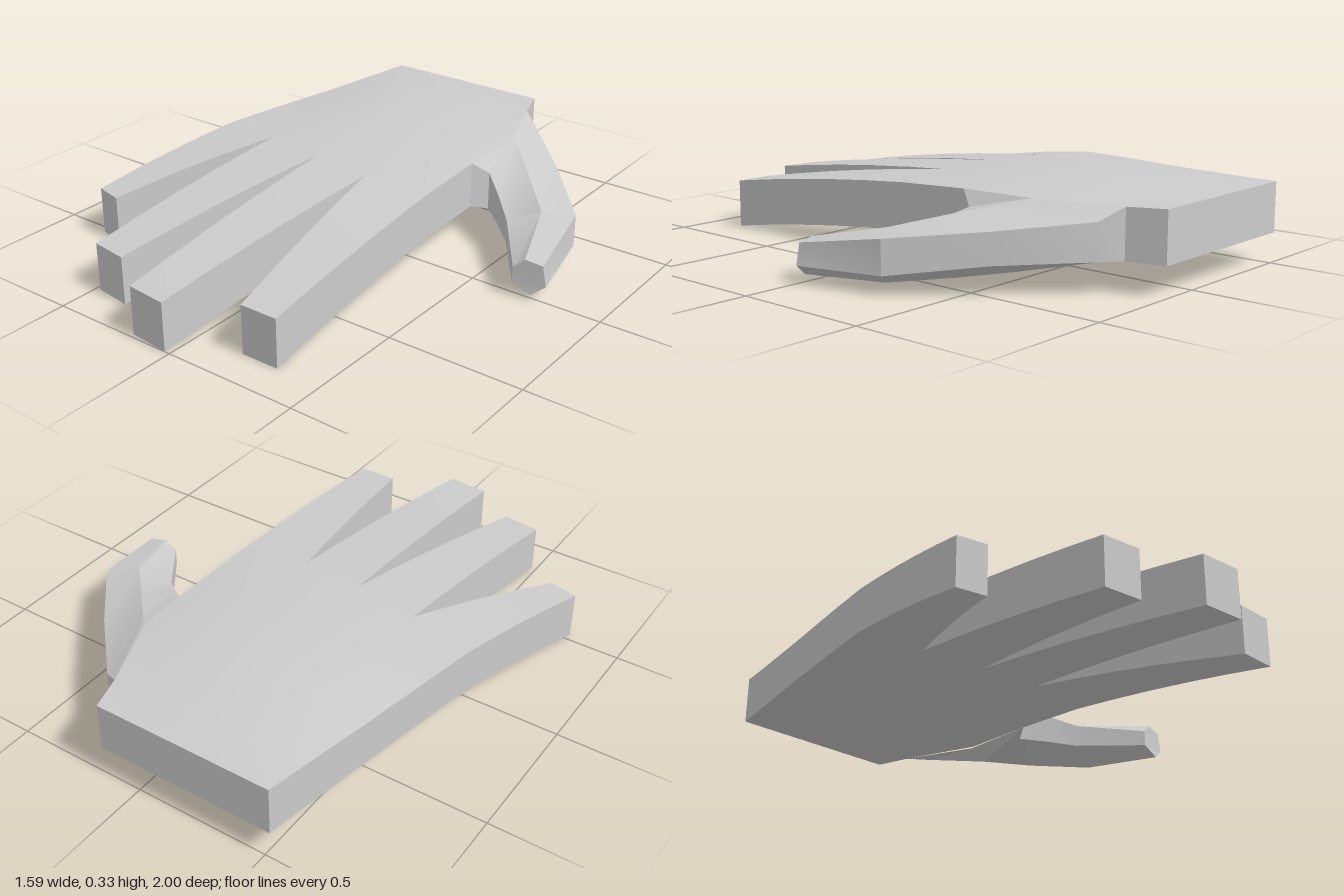
import * as THREE from 'three';
import { toCreasedNormals } from 'three/addons/utils/BufferGeometryUtils.js';

// Collects quads and turns them into a mesh with sharp corners and smooth faces
class Skin {
  constructor() { this.pos = []; }
  tri(a, b, c) { this.pos.push(...a, ...b, ...c); }
  quad(a, b, c, d) { this.tri(a, b, c); this.tri(a, c, d); }
  mesh(name) {
    const g = new THREE.BufferGeometry();
    g.setAttribute('position', new THREE.Float32BufferAttribute(this.pos, 3));
    const mat = new THREE.MeshStandardMaterial({ color: 0xcccccc });
    const m = new THREE.Mesh(toCreasedNormals(g, 0.5), mat);
    m.name = name;
    return m;
  }
}

// Edge points are [x, z, top, bottom]
const up = p => [p[0], p[2], p[1]];
const low = p => [p[0], p[3], p[1]];

// Slab segments between a -x edge and a +x edge, running from back to front
function strip(skin, L, R, wallL, wallR) {
  for (let k = 0; k < L.length - 1; k++) {
    const [a, b, c, d] = [L[k], L[k + 1], R[k + 1], R[k]];
    skin.quad(up(a), up(b), up(c), up(d));
    skin.quad(low(a), low(d), low(c), low(b));
    if (wallL(k)) skin.quad(low(a), low(b), up(b), up(a));
    if (wallR(k)) skin.quad(low(c), low(d), up(d), up(c));
  }
}

// Palm rows from wrist to finger roots, five points across each
const row = (z, xs, tops, bottom) => xs.map((x, i) => [x, z, tops[i], bottom]);
const ROWS = [
  row(-1, [-0.52, -0.35, -0.18, -0.02, 0.15], [0.285, 0.285, 0.285, 0.285, 0.285], 0.105),
  row(-0.87, [-0.543, -0.37, -0.18, 0.01, 0.19], [0.282, 0.294, 0.298, 0.296, 0.282], 0.107),
  row(-0.58, [-0.597, -0.41, -0.18, 0.06, 0.3], [0.277, 0.312, 0.326, 0.318, 0.288], 0.11),
  row(-0.29, [-0.65, -0.43, -0.19, 0.06, 0.3], [0.277, 0.304, 0.314, 0.307, 0.284], 0.11),
  [[-0.688, -0.08, 0.274, 0.105], [-0.44, -0.04, 0.287, 0.107], [-0.19, 0, 0.29, 0.107],
    [0.05, 0.03, 0.283, 0.105], [0.305, 0, 0.272, 0.102]],
];
const ROOTS = ROWS[4];

function palm() {
  const s = new Skin();
  for (let i = 0; i < 4; i++) {
    strip(s, ROWS.map(r => r[i]), ROWS.map(r => r[i + 1]),
      () => i === 0, k => i === 3 && (k === 0 || k === 3));
    const [a, b] = [ROWS[0][i], ROWS[0][i + 1]];
    s.quad(low(b), low(a), up(a), up(b)); // cut wrist
  }
  return s.mesh('palm');
}

// Fingers taper in plan and droop down to the ground at the tip
function finger(name, i, tipL, tipR) {
  const edge = (root, tip) => [0, 0.2, 0.4, 0.6, 0.8, 1].map(t => {
    const drop = 0.62 * t + 0.38 * t * t;
    return [
      root[0] + (tip[0] - root[0]) * t,
      root[1] + (tip[1] - root[1]) * t,
      root[2] + (0.18 - root[2]) * drop,
      root[3] * (1 - drop),
    ];
  });
  const L = edge(ROOTS[i], tipL), R = edge(ROOTS[i + 1], tipR);
  const s = new Skin();
  strip(s, L, R, () => true, () => true);
  const [a, b] = [L.at(-1), R.at(-1)];
  s.quad(low(a), low(b), up(b), up(a)); // blunt tip
  return s.mesh(name);
}

// Thumb: six-sided sections of outer low, outer top, ridge, inner top, inner low, bottom
function thumb() {
  const sections = [
    [[0.19, 0.107, -0.87], [0.19, 0.282, -0.87], [0.3, 0.288, -0.58],
      [0.3, 0.284, -0.29], [0.3, 0.11, -0.29], [0.29, 0.1, -0.58]],
    [[0.27, 0.11, -0.82], [0.27, 0.238, -0.82], [0.33, 0.28, -0.56],
      [0.34, 0.235, -0.35], [0.34, 0.09, -0.35], [0.34, 0.05, -0.56]],
    [[0.5, 0.1, -0.58], [0.5, 0.21, -0.58], [0.47, 0.243, -0.41],
      [0.43, 0.19, -0.275], [0.43, 0.08, -0.275], [0.48, 0.035, -0.43]],
    [[0.72, 0.065, -0.32], [0.72, 0.185, -0.32], [0.62, 0.197, -0.25],
      [0.51, 0.15, -0.2], [0.51, 0.065, -0.2], [0.62, 0.012, -0.24]],
    [[0.79, 0.06, 0], [0.775, 0.135, 0], [0.71, 0.145, 0.01],
      [0.67, 0.11, 0.02], [0.67, 0.05, 0.02], [0.74, 0.02, 0.015]],
  ];
  const s = new Skin();
  for (let k = 0; k < 4; k++) {
    const [A, B] = [sections[k], sections[k + 1]];
    for (let j = 0; j < 6; j++) {
      const n = (j + 1) % 6;
      s.quad(A[j], A[n], B[n], B[j]);
    }
  }
  const tip = sections[4];
  for (let j = 1; j < 5; j++) s.tri(tip[0], tip[j], tip[j + 1]);
  return s.mesh('thumb');
}

export function createModel() {
  const hand = new THREE.Group();
  hand.name = 'hand';
  hand.add(
    palm(),
    finger('littleFinger', 0, [-0.797, 0.53], [-0.69, 0.555]),
    finger('ringFinger', 1, [-0.482, 0.845], [-0.34, 0.865]),
    finger('middleFinger', 2, [-0.175, 0.985], [-0.02, 1]),
    finger('indexFinger', 3, [0.187, 0.86], [0.33, 0.86]),
    thumb(),
  );
  return hand;
}
